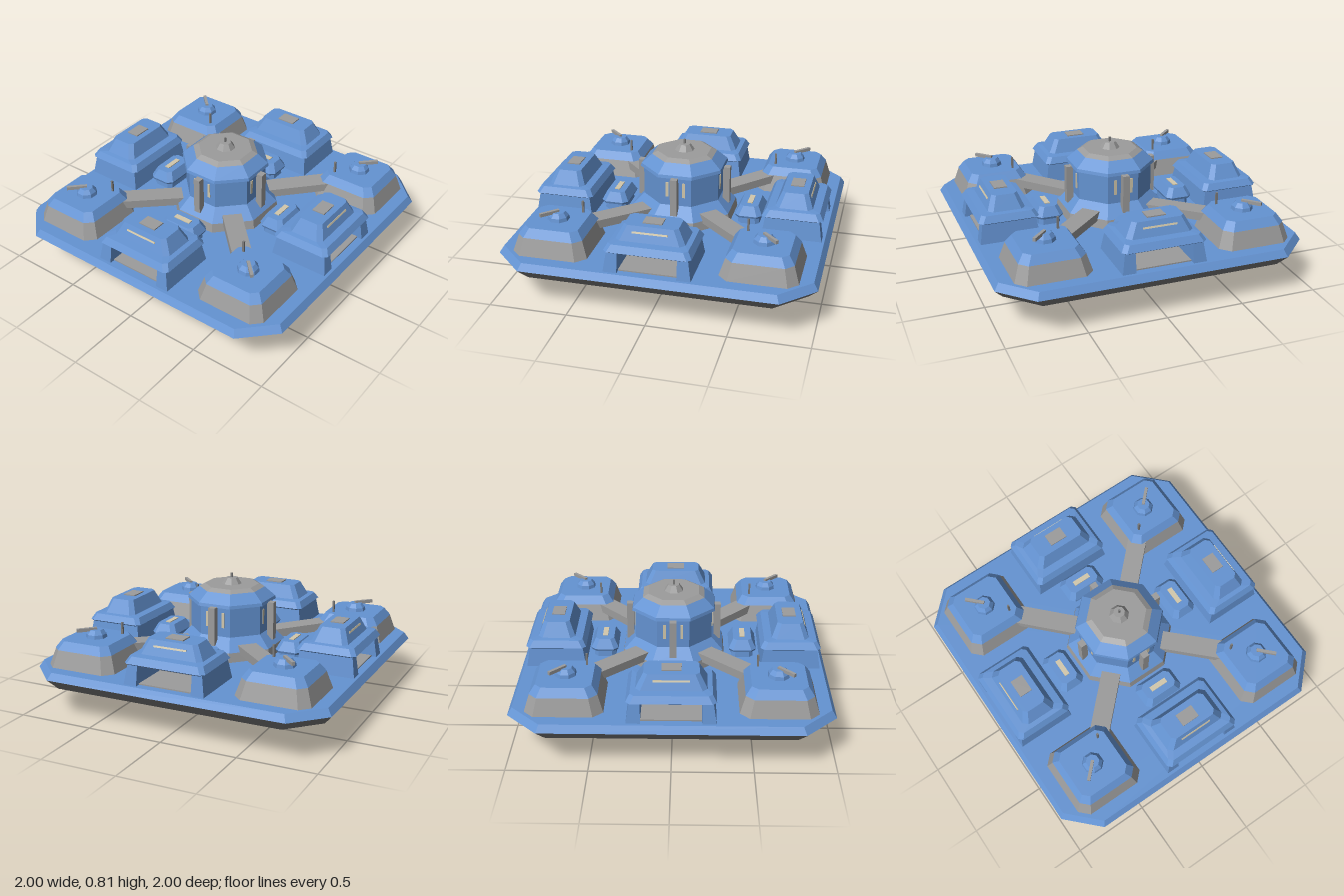
import * as THREE from 'three';

const paint = (name, color) => {
  const m = new THREE.MeshStandardMaterial({ color });
  m.name = name;
  m.flatShading = true;
  return m;
};

// Octagon or rectangle outline: half sizes, corner cut and centre
function outline([y, hx, hz, c = 0, cx = 0, cz = 0]) {
  const pts = c
    ? [[c - hx, hz], [hx - c, hz], [hx, hz - c], [hx, c - hz], [hx - c, -hz], [c - hx, -hz], [-hx, c - hz], [-hx, hz - c]]
    : [[-hx, hz], [hx, hz], [hx, -hz], [-hx, -hz]];
  return pts.map(([x, z]) => [x + cx, y, z + cz]);
}

// Stack of outlines from bottom to top, closed at both ends
function loft(sections) {
  const rings = sections.map(outline), n = rings[0].length, pos = [];
  const tri = (a, b, c) => pos.push(...a, ...b, ...c);
  for (let s = 0; s < rings.length - 1; s++) {
    const lo = rings[s], hi = rings[s + 1];
    for (let i = 0; i < n; i++) {
      const j = (i + 1) % n;
      tri(lo[i], lo[j], hi[j]);
      tri(lo[i], hi[j], hi[i]);
    }
  }
  const bottom = rings[0], top = rings[rings.length - 1];
  for (let i = 1; i < n - 1; i++) {
    tri(top[0], top[i], top[i + 1]);
    tri(bottom[0], bottom[i + 1], bottom[i]);
  }
  const g = new THREE.BufferGeometry();
  g.setAttribute('position', new THREE.Float32BufferAttribute(pos, 3));
  g.computeVertexNormals();
  return g;
}

// Regular octagon section with flat sides on the axes
const oct = (y, r) => [y, r, r, r * 0.586];

export function createModel() {
  const model = new THREE.Group();
  const blue = paint('blue', 0x6493d2);
  const grey = paint('grey', 0x9c9c9c);
  const darkGrey = paint('dark grey', 0x7c7c7c);
  const cream = paint('cream', 0xd2c8ac);

  const add = (parent, name, geometry, material, x = 0, y = 0, z = 0) => {
    const m = new THREE.Mesh(geometry, material);
    m.name = name;
    m.position.set(x, y, z);
    parent.add(m);
    return m;
  };
  const box = (w, h, d) => new THREE.BoxGeometry(w, h, d);
  const group = (parent, name, x = 0, z = 0) => {
    const g = new THREE.Group();
    g.name = name;
    g.position.set(x, 0, z);
    parent.add(g);
    return g;
  };

  // Platform and the keel below it
  add(model, 'platformUnderside', loft([[0.2, 0.945, 0.945, 0.19], [0.265, 1, 1, 0.2]]), darkGrey);
  add(model, 'platformDeck', loft([[0.265, 1, 1, 0.2], [0.31, 0.972, 0.972, 0.19]]), blue);
  add(model, 'keelCollar', loft([oct(0.165, 0.255), oct(0.205, 0.255)]), blue);
  add(model, 'keel', loft([oct(0, 0.147), oct(0.167, 0.225)]), grey);

  // Central tower
  const tower = group(model, 'tower');
  add(tower, 'towerFoot', loft([oct(0.31, 0.335), oct(0.37, 0.325)]), grey);
  add(tower, 'towerBody', loft([oct(0.37, 0.325), oct(0.45, 0.25), oct(0.65, 0.25)]), blue);
  add(tower, 'towerRoof', loft([oct(0.645, 0.27), oct(0.665, 0.265), oct(0.725, 0.2)]), blue);
  add(tower, 'roofCap', loft([oct(0.725, 0.2), oct(0.745, 0.165)]), grey);
  add(tower, 'lantern', loft([oct(0.745, 0.06), oct(0.785, 0.035)]), grey);
  add(tower, 'mast', box(0.012, 0.04, 0.012), darkGrey, 0, 0.795);

  // One side hall, facing +z
  function addHall(parent) {
    const hall = group(parent, 'hall', 0, 0.76);
    for (const s of [-1, 1]) {
      add(hall, 'hallSideWall', loft([[0.31, 0.043, 0.193, 0, s * 0.227], [0.44, 0.033, 0.172, 0, s * 0.217]]), blue);
    }
    add(hall, 'hallInnerWall', loft([[0.31, 0.2, 0.045, 0, 0, -0.148], [0.44, 0.2, 0.036, 0, 0, -0.136]]), blue);
    add(hall, 'hallFloor', box(0.37, 0.008, 0.26), grey, 0, 0.314, 0.03);
    add(hall, 'hallBackPanel', box(0.37, 0.11, 0.008), grey, 0, 0.37, -0.098);
    add(hall, 'doorBeam', box(0.37, 0.014, 0.02), darkGrey, 0, 0.433, 0.15);
    add(hall, 'hallRoof', loft([
      [0.435, 0.255, 0.18, 0.02], [0.445, 0.27, 0.195, 0.025], [0.487, 0.245, 0.17, 0.025],
      [0.492, 0.215, 0.12, 0.03], [0.583, 0.167, 0.083, 0.025],
    ]), blue);
    add(hall, 'roofHatch', box(0.12, 0.008, 0.085), grey, 0, 0.586, 0);
    const slit = add(hall, 'hallWindow', box(0.22, 0.012, 0.006), cream, 0, 0.546, 0.099);
    slit.rotation.x = -0.386;
  }

  // Small pod between a hall and the tower
  function addPod(parent) {
    const pod = group(parent, 'pod', 0, 0.455);
    add(pod, 'podWalls', loft([[0.31, 0.12, 0.072, 0.025], [0.365, 0.115, 0.068, 0.025]]), blue);
    add(pod, 'podRoof', loft([[0.355, 0.135, 0.085, 0.03], [0.37, 0.14, 0.09, 0.03], [0.43, 0.108, 0.06, 0.025]]), blue);
    add(pod, 'podSkylight', box(0.12, 0.007, 0.034), cream, 0, 0.432, 0);
  }

  // Corner block with a small turret, in the +x +z corner
  function addCorner(parent) {
    const corner = group(parent, 'cornerBlock', 0.65, 0.65);
    add(corner, 'cornerWalls', loft([[0.31, 0.24, 0.24, 0.06], [0.42, 0.205, 0.205, 0.05]]), grey);
    add(corner, 'cornerRoof', loft([[0.42, 0.207, 0.207, 0.05], [0.472, 0.17, 0.17, 0.04]]), blue);
    add(corner, 'turret', loft([oct(0.47, 0.065), oct(0.495, 0.06), oct(0.522, 0.04)]), blue);
    const barrel = add(corner, 'barrel', box(0.02, 0.022, 0.13), grey, 0.043, 0.524, 0.043);
    barrel.rotation.y = Math.PI / 4;
    add(corner, 'antenna', box(0.013, 0.09, 0.013), darkGrey, -0.12, 0.505, -0.12);
  }

  // Everything that repeats on the four sides
  for (let k = 0; k < 4; k++) {
    const side = group(model, 'quarter');
    side.rotation.y = k * Math.PI / 2;
    addHall(side);
    addPod(side);
    addCorner(side);

    // Tower buttress and the windows beside it
    add(side, 'buttress', box(0.045, 0.25, 0.045), grey, 0, 0.525, 0.287);
    for (const s of [-1, 1]) add(side, 'towerWindow', box(0.018, 0.1, 0.006), cream, s * 0.055, 0.56, 0.252);

    // Bridge from tower to corner block
    const arm = group(side, 'bridgeArm');
    arm.rotation.y = Math.PI / 4;
    const bridge = add(arm, 'bridge', box(0.125, 0.055, 0.46), grey, 0, 0.386, 0.47);
    bridge.rotation.x = -0.03;
  }
  return model;
}
